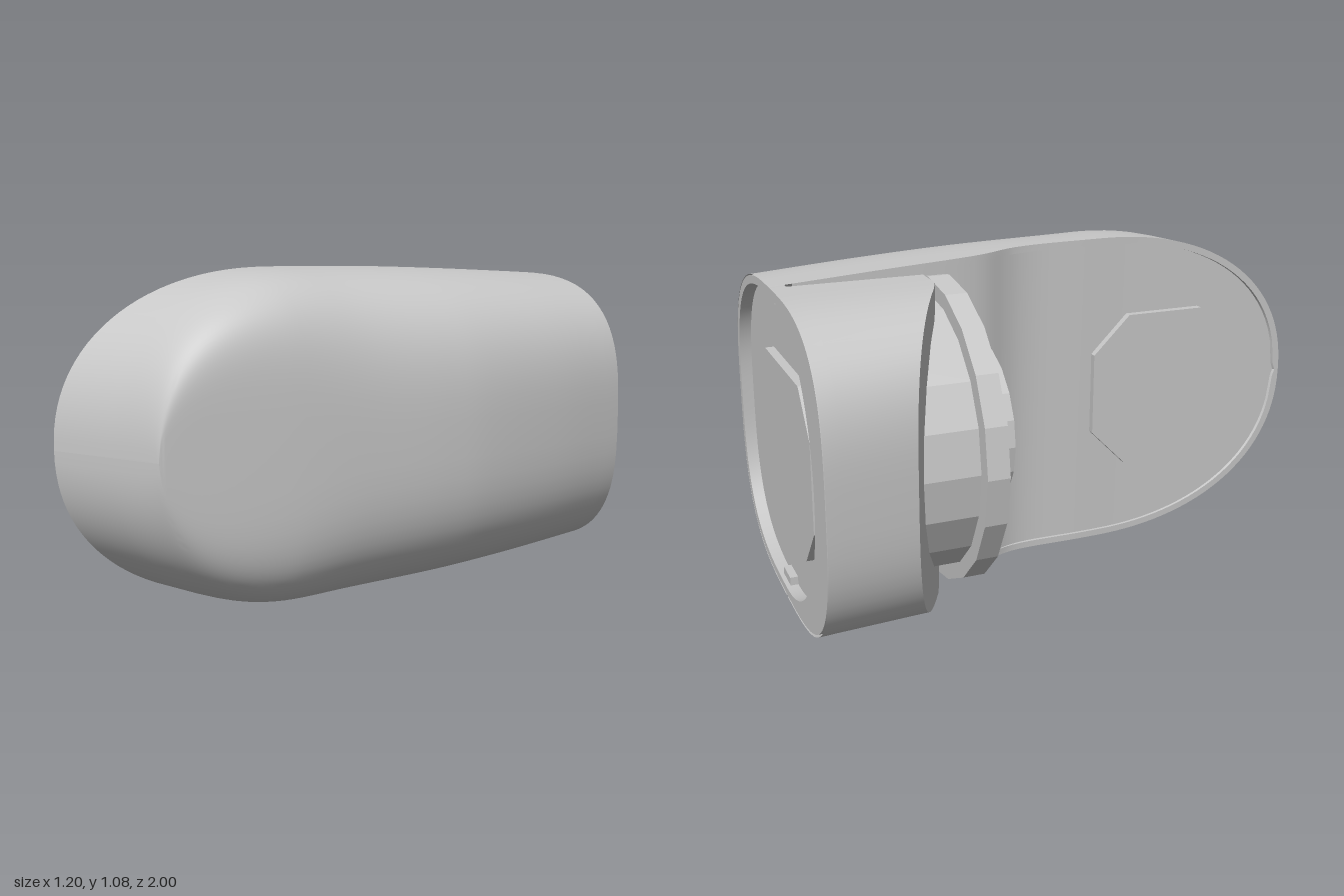
import * as THREE from 'three';
import { toCreasedNormals } from 'three/addons/utils/BufferGeometryUtils.js';

const MID = 0.54; // height of the symmetry plane
const ARC = 40; // points along the curved part of a section
const V = (x, y, z) => new THREE.Vector3(x, y, z);

// Skin a list of closed rings (counter-clockwise seen from +z, ordered towards +z).
// The straight inner wall is left out between the first two rings.
function loft(rings, capEnd) {
  const n = rings[0].length, index = [];
  const pos = rings.flat().flatMap((p) => [p.x, p.y, p.z]);
  for (let i = 0; i < rings.length - 1; i++) {
    for (let j = 0; j < (i === 0 ? ARC - 1 : n); j++) {
      const a = i * n + j, b = i * n + (j + 1) % n;
      index.push(a, b, a + n, b, b + n, a + n);
    }
  }
  if (capEnd) { // strips across a ring that is mirrored top to bottom
    const s = (rings.length - 1) * n;
    for (let j = 0; j < n / 2 - 1; j++) {
      const k = n - 1 - j;
      index.push(s + j, s + j + 1, s + k, s + j + 1, s + k - 1, s + k);
    }
  }
  const g = new THREE.BufferGeometry();
  g.setAttribute('position', new THREE.Float32BufferAttribute(pos, 3));
  g.setIndex(index);
  return toCreasedNormals(g, 0.6);
}

// Half superellipse from bottom (0,-1) through (1,0) to top (0,1)
function halfOval(n) {
  return Array.from({ length: ARC }, (_, i) => {
    const t = (i / (ARC - 1) - 0.5) * Math.PI, s = Math.sin(t);
    return [Math.max(0, Math.cos(t)) ** (2 / n), Math.sign(s) * Math.abs(s) ** (2 / n)];
  });
}

// Closed outline from a right half and a left half, each [width, height, exponent]
function outline([rw, rh, rn], [lw, lh, ln]) {
  const right = halfOval(rn).map(([a, b]) => new THREE.Vector2(a * rw, b * rh));
  const left = halfOval(ln).map(([a, b]) => new THREE.Vector2(-a * lw, -b * lh));
  return [...right, ...left];
}

function octagon(w, h, cx, cy) {
  return new THREE.Shape([[w - cx, -h], [w, cy - h], [w, h - cy], [w - cx, h],
    [cx - w, h], [-w, h - cy], [-w, cy - h], [cx - w, -h]].map(([x, y]) => new THREE.Vector2(x, y)));
}

function slab(shape, z0, z1) {
  return new THREE.ExtrudeGeometry(shape, { depth: z1 - z0, bevelEnabled: false }).translate(0, 0, z0);
}

// Long curved housing with a shallow recess behind a lip on its inner side
function housingGeometry() {
  const L = new THREE.CatmullRomCurve3([[0.05, -0.81], [-0.043, -0.5], [-0.135, -0.16], [-0.14, 0],
    [-0.222, 0.25], [-0.32, 0.53], [-0.49, 0.995]].map(([x, z]) => V(x, 0, z)));
  const R = new THREE.CatmullRomCurve3([[0.595, -0.61], [0.525, -0.32], [0.43, -0.02], [0.37, 0.12],
    [0.255, 0.35], [0.135, 0.58], [-0.08, 0.955]].map(([x, z]) => V(x, 0, z)));
  const arc = (z, a, b) => b * Math.max(0, 1 - ((z - 0.3) / a) ** 2.2) ** (1 / 2.2);
  const rings = [];
  for (let i = 0; i <= 56; i++) {
    const t = 1 - (1 - i / 56) ** 2;
    const l = L.getPoint(t), r = R.getPoint(t), z = l.z;
    const rise = 0.5 + 0.04 * Math.sin(((z + 0.81) / 1.11) * Math.PI / 2);
    const h = z < 0.3 ? rise : arc(z, 0.695, 0.54);
    const hi = z < 0.3 ? rise - 0.022 : Math.min(h, arc(z, 0.673, 0.518));
    const d = 0.022 * THREE.MathUtils.smoothstep(z, -0.15, 0.1);
    // the inner side dips in here, while the outer curve runs on evenly
    const width = l.distanceTo(r), dip = Math.max(0, l.x - 0.05 + (z + 0.81) * 0.299);
    const at = (a, y) => V(l.x + (r.x - l.x) * a, MID + y, l.z + (r.z - l.z) * a);
    rings.push([...halfOval(3 + 5 * t ** 8).map(([a, b]) => at(Math.max(0, (a * (width + dip) - dip) / width), b * h)),
      at(0, hi), at(d, hi), at(d, -hi), at(0, -hi)]);
  }
  return loft(rings, false);
}

// Short cover beside the housing; its front edge runs diagonally
function coverGeometry() {
  const half = halfOval(3.2);
  const ring = (width, depth) => half.map(([a, b]) => {
    const x = -0.012 - a * width;
    return V(x, -b * 0.5, depth(x));
  });
  const front = (x) => THREE.MathUtils.clamp(0.27 + (x + 0.53) * 0.5, 0.26, 0.47);
  return loft([ring(0.55, () => 0), ring(0.544, () => 0.05), ring(0.518, front)], true);
}

export function createModel() {
  const model = new THREE.Group();
  const grey = new THREE.MeshStandardMaterial({ color: 0xc8c8c8, side: THREE.DoubleSide });
  grey.name = 'grey plastic';
  const add = (parent, name, geometry) => {
    const mesh = new THREE.Mesh(geometry, grey);
    mesh.name = name;
    parent.add(mesh);
    return mesh;
  };

  add(model, 'housing', housingGeometry());

  // Raised pad on the inner face
  const pad = add(model, 'innerPad', slab(octagon(0.27, 0.27, 0.13, 0.13), -0.04, 0.012));
  pad.position.set(-0.325, MID, 0.53);
  pad.rotation.y = Math.atan2(-0.94, -0.345);

  // Mounting end, turned 20 degrees
  const mount = new THREE.Group();
  mount.name = 'mountingEnd';
  mount.position.set(0.05, MID, -0.81);
  mount.rotation.y = -THREE.MathUtils.degToRad(20);
  model.add(mount);

  add(mount, 'sideCover', coverGeometry());

  // Rim around the recessed back, with the floor and its raised boss
  const rim = new THREE.Shape(outline([0.576, 0.497, 3], [0.55, 0.497, 3.2]));
  rim.holes.push(new THREE.Path(outline([0.55, 0.472, 3], [0.43, 0.472, 2.1])));
  add(mount, 'backRim', toCreasedNormals(slab(rim, 0.001, 0.05), 0.6));
  const floor = new THREE.Shape(outline([0.563, 0.485, 3], [0.46, 0.485, 2.1]));
  add(mount, 'backFloor', slab(floor, 0.04, 0.055));
  add(mount, 'backBoss', slab(octagon(0.32, 0.27, 0.11, 0.13), 0.012, 0.045).translate(-0.04, 0, 0));
  for (const s of [1, -1]) {
    add(mount, s > 0 ? 'upperClip' : 'lowerClip',
      new THREE.BoxGeometry(0.09, 0.03, 0.03).translate(0.05, s * 0.46, 0.03));
  }

  // Stepped pivot: [name, radius, start, end]
  for (const [name, r, z0, z1] of [['pivotNeck', 0.44, 0.08, 0.5],
    ['pivotFlange', 0.49, 0.49, 0.56], ['pivotStem', 0.27, 0.55, 0.67]]) {
    const g = new THREE.CylinderGeometry(r, r, z1 - z0, 20).rotateX(Math.PI / 2).rotateZ(Math.PI / 2);
    add(mount, name, toCreasedNormals(g.translate(0, 0, (z0 + z1) / 2), 0.2));
  }
  return model;
}
